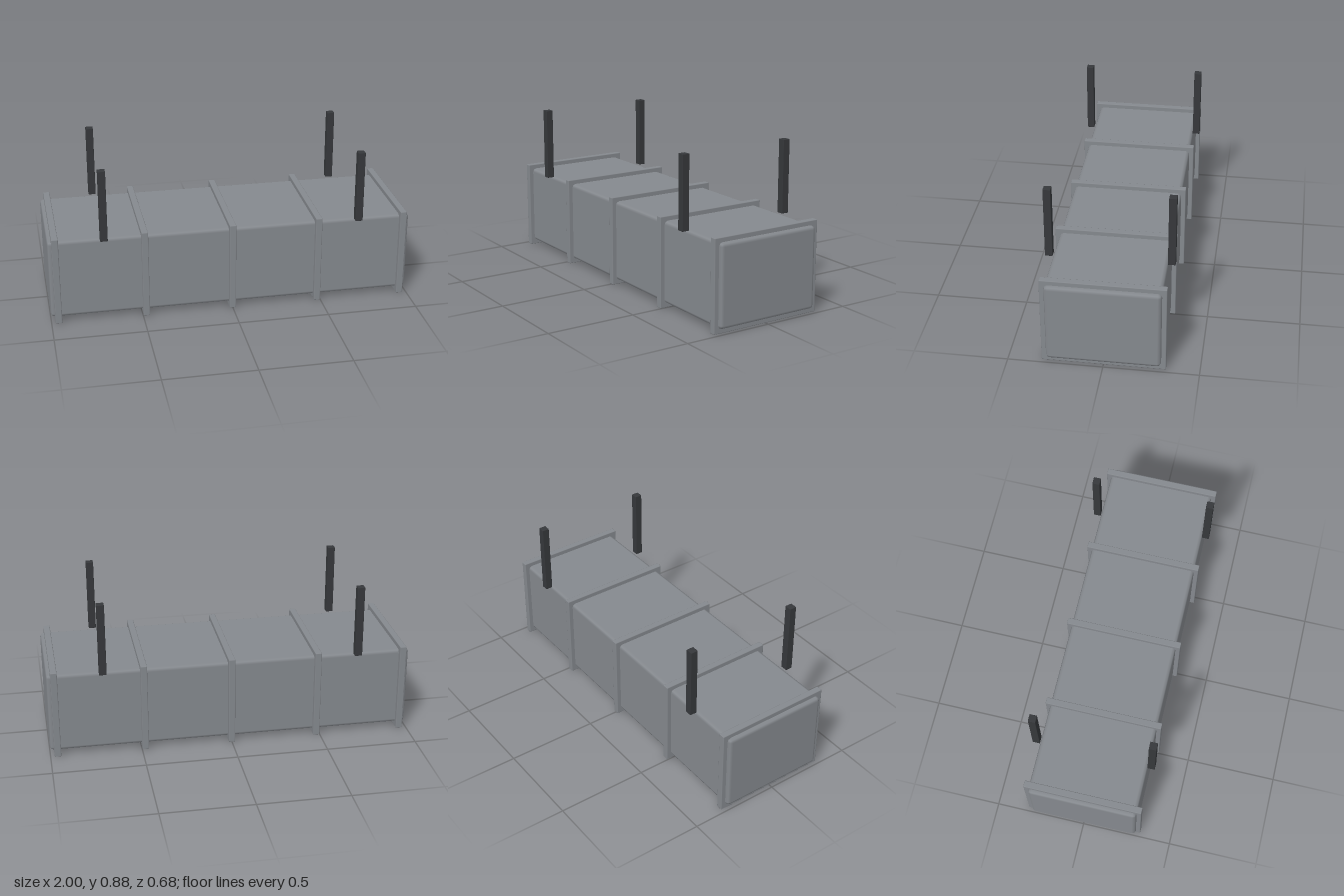
import * as THREE from 'three';
import { RoundedBoxGeometry } from 'three/addons/geometries/RoundedBoxGeometry.js';

export function createModel() {
  const group = new THREE.Group();
  const steel = new THREE.MeshStandardMaterial({ color: 0x85898e });
  const darkSteel = new THREE.MeshStandardMaterial({ color: 0x36383b });
  const black = new THREE.MeshStandardMaterial({ color: 0x1c1d1f });

  // Box with a single chamfer on every edge
  const addBox = (name, size, position, bevel, material) => {
    const mesh = new THREE.Mesh(new RoundedBoxGeometry(...size, 1, bevel), material);
    mesh.name = name;
    mesh.position.set(...position);
    group.add(mesh);
  };

  // Long rectangular duct
  addBox('ductBody', [2, 0.45, 0.6], [0, 0.25, 0], 0.02, steel);

  // Flanges at the joints
  for (let i = -2; i <= 2; i++) {
    addBox('flange', [0.036, 0.5, 0.65], [i * 0.48, 0.25, 0], 0.004, steel);
  }

  // Hanger straps on both sides
  for (const x of [-0.7, 0.7]) {
    for (const z of [-0.32, 0.32]) {
      addBox('hangerStrap', [0.04, 0.4, 0.04], [x, 0.675, z], 0.002, darkSteel);
    }
  }

  // Vent panel on the underside
  addBox('ventPanel', [0.5, 0.02, 0.4], [0.4, 0.025, 0], 0.002, black);

  return group;
}
